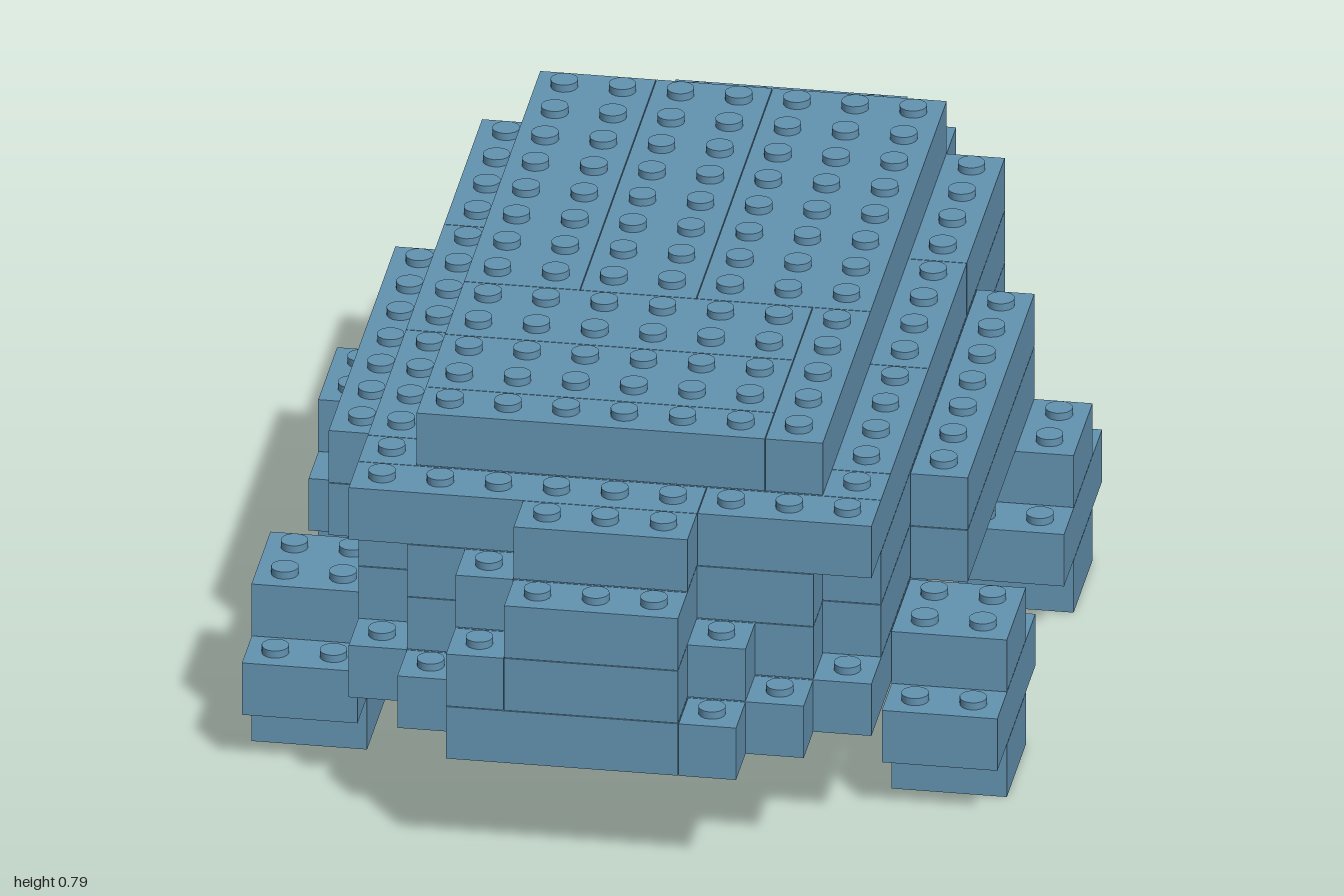
import * as THREE from 'three';
import { mergeGeometries } from 'three/addons/utils/BufferGeometryUtils.js';

const U = 1 / 9;          // one stud pitch, also one brick height
const GAP = 0.0015;       // seam between neighbouring bricks
const STUD_R = 0.026, STUD_H = 0.015;
const ROWS = 18;          // studs from back to front

// A brick measured in stud pitches: x from the middle, z from the back
const brick = (x0, x1, z0, z1) => ({ x0, x1, z0, z1 });
const mirrored = (b) => [b, brick(-b.x1, -b.x0, b.z0, b.z1)];

// Full-width bricks between rows z0 and z1, each `depth` rows deep
function strips(half, z0, z1, depth) {
  const out = [];
  for (let z = z0; z < z1; z += depth) out.push(brick(-half, half, z, Math.min(z + depth, z1)));
  return out;
}

// Two single rows that narrow towards the back end
const backSteps = () => [brick(-2.5, 2.5, 0, 1), brick(-3.5, 3.5, 1, 2)];

// A brick for each foot: front and back, left and right
const feet = (x0, x1, halfDepth) => [6, 13].flatMap((z) => mirrored(brick(x0, x1, z - halfDepth, z + halfDepth)));

// Base: both ends step in by one stud per row
function bodyBase() {
  return [
    ...backSteps(),
    ...strips(4.5, 2, 16, 2),
    brick(-3.5, 3.5, 16, 17),
    brick(-2.5, 1.5, 17, ROWS), brick(1.5, 2.5, 17, ROWS),
    ...feet(4.5, 6.5, 1),
  ];
}

// Walls with the side panels; the front narrows and is one stud longer on one side
function walls(row16Half, extraRow) {
  return [
    ...backSteps(),
    ...strips(4.5, 2, 15, 5),
    brick(-3.5, 3.5, 15, 16),
    brick(-row16Half, row16Half, 16, 17),
    brick(-1.5, 1.5, 17, ROWS),
    brick(-2.5, -1.5, extraRow, extraRow + 1),
    ...mirrored(brick(4.5, 5.5, 5, 12)),
  ];
}

function shoulder() {
  return [
    brick(-1.5, 1.5, 0, 1), brick(1.5, 2.5, 0, 1),
    brick(-3.5, 2.5, 1, 2), brick(2.5, 3.5, 1, 2),
    ...strips(4.5, 2, 15, 4),
    brick(-4.5, 1.5, 15, 16), brick(1.5, 4.5, 15, 16),
    brick(-1.5, 1.5, 16, 17),
  ];
}

// Top: long bricks at the back, cross bricks at the front beside one narrow brick
function roof() {
  return [
    brick(-3.5, -1.5, 2, 10), brick(-1.5, 0.5, 2, 10), brick(0.5, 3.5, 2, 10),
    ...[10, 12, 14].map((z) => brick(-3.5, 2.5, z, Math.min(z + 2, 15))),
    brick(2.5, 3.5, 10, 15),
  ];
}

// Layers from the ground up
const layers = [
  { name: 'footSole', bricks: feet(4.5, 6.5, 1) },
  { name: 'footPlate', bricks: feet(4.5, 6.5, 2) },
  { name: 'bodyBase', bricks: bodyBase() },
  { name: 'lowerBody', bricks: walls(2.5, 17) },
  { name: 'upperBody', bricks: walls(1.5, 16) },
  { name: 'shoulder', bricks: shoulder() },
  { name: 'roof', bricks: roof() },
];

function brickGeometry({ x0, x1, z0, z1 }, level) {
  const g = new THREE.BoxGeometry((x1 - x0) * U - GAP, U - GAP, (z1 - z0) * U - GAP);
  return g.translate((x0 + x1) / 2 * U, (level + 0.5) * U, (z0 + z1) / 2 * U - 1);
}

// Studs on every cell that has no brick directly above it
function studGeometries(bricks, above, level) {
  const studs = [];
  for (const { x0, x1, z0, z1 } of bricks) {
    for (let x = x0 + 0.5; x < x1; x++) {
      for (let z = z0 + 0.5; z < z1; z++) {
        if (above.some((b) => x > b.x0 && x < b.x1 && z > b.z0 && z < b.z1)) continue;
        const g = new THREE.CylinderGeometry(STUD_R, STUD_R, STUD_H, 16);
        studs.push(g.translate(x * U, (level + 1) * U + STUD_H / 2 - GAP / 2, z * U - 1));
      }
    }
  }
  return studs;
}

export function createModel() {
  const model = new THREE.Group();
  model.name = 'brickAnimal';
  const blue = new THREE.MeshStandardMaterial({ color: 0x6393b1 });
  blue.name = 'dustyBlue';

  layers.forEach(({ name, bricks }, level) => {
    const layer = new THREE.Group();
    layer.name = name;
    for (const b of bricks) {
      const mesh = new THREE.Mesh(brickGeometry(b, level), blue);
      mesh.name = name + 'Brick';
      layer.add(mesh);
    }
    // The soles are fully covered and have no studs
    const studs = studGeometries(bricks, layers[level + 1]?.bricks ?? [], level);
    if (studs.length > 0) {
      const mesh = new THREE.Mesh(mergeGeometries(studs), blue);
      mesh.name = name + 'Studs';
      layer.add(mesh);
    }
    model.add(layer);
  });
  return model;
}
